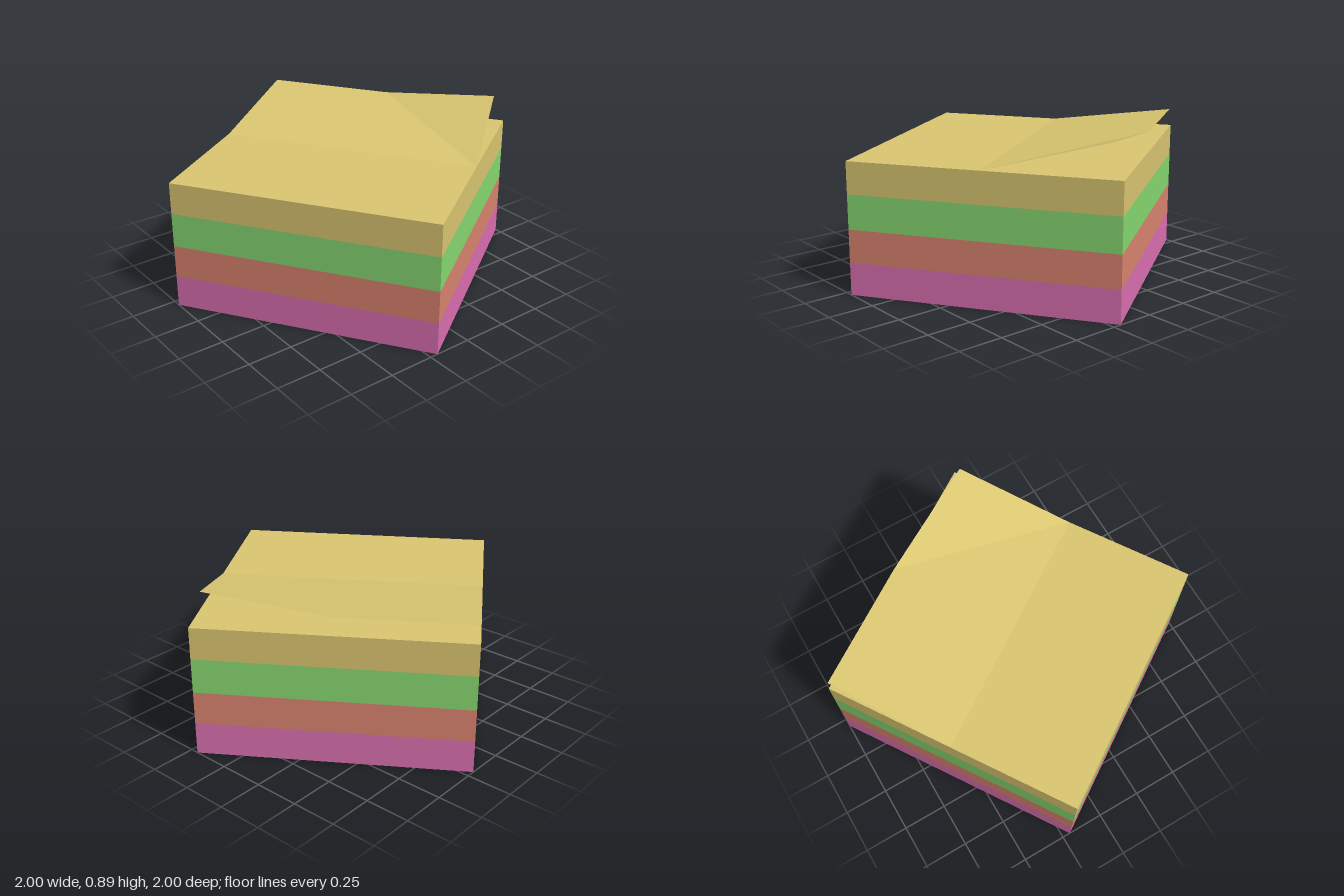
import * as THREE from 'three';

const S = 0.722; // half side of the square pad

function paper(name, color) {
  const m = new THREE.MeshStandardMaterial({ color });
  m.name = name;
  return m;
}

export function createModel() {
  const model = new THREE.Group();
  model.name = 'stickyNotePad';
  model.rotation.y = 0.583;

  const yellow = paper('yellowPaper', 0xdcc872);
  yellow.side = THREE.DoubleSide;

  // Stacked blocks of coloured paper: name, material, bottom, top
  const layers = [
    ['magentaBlock', paper('magentaPaper', 0xdc70b2), 0, 0.18],
    ['redBlock', paper('redPaper', 0xdc8570), 0.18, 0.36],
    ['greenBlock', paper('greenPaper', 0x88da72), 0.36, 0.55],
    ['yellowBlock', yellow, 0.55, 0.725],
  ];
  for (const [name, material, bottom, top] of layers) {
    const block = new THREE.Mesh(new THREE.BoxGeometry(2 * S, top - bottom, 2 * S), material);
    block.name = name;
    block.position.y = (bottom + top) / 2;
    model.add(block);
  }

  // Lifted half of the top sheet: hinge, raised edge and curled corner
  const corners = [
    [0, 0, -S], [0, 0, S],
    [0.712, 0.097, 0], [0.712, 0.097, -0.718],
    [0.654, 0.17, 0.67],
  ];
  const faces = [0, 1, 2, 0, 2, 3, 1, 4, 2];
  const geometry = new THREE.BufferGeometry();
  geometry.setAttribute('position',
    new THREE.Float32BufferAttribute(faces.flatMap((i) => corners[i]), 3));
  geometry.computeVertexNormals();
  const sheet = new THREE.Mesh(geometry, yellow);
  sheet.name = 'liftedSheet';
  sheet.position.y = 0.725;
  model.add(sheet);

  const group = new THREE.Group();
  group.add(model);
  return group;
}
